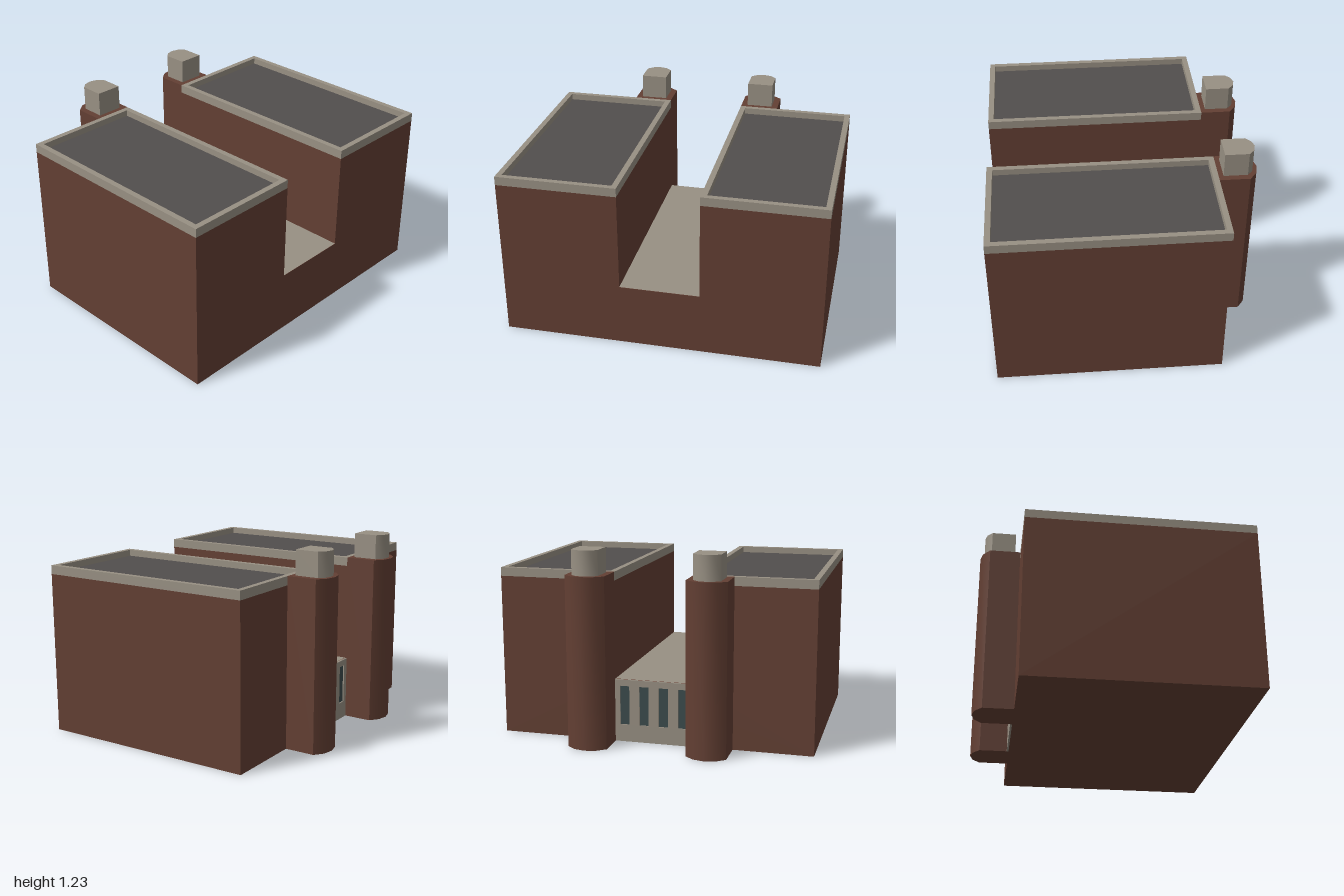
import * as THREE from 'three';
import { toCreasedNormals } from 'three/addons/utils/BufferGeometryUtils.js';

const mat = (color) => new THREE.MeshStandardMaterial({ color });
const brick = mat(0x633f33), stone = mat(0x989083), roofing = mat(0x524e4d), glass = mat(0x3c4b4c);

const BACK = -0.58, FRONT = 0.83, LENGTH = FRONT - BACK, MID_X = (FRONT + BACK) / 2;
const INNER = 0.25, LINK_H = 0.4, WALL_H = 1.02, TOP = 1.075, RIM = 0.035;

function rect(target, x0, y0, x1, y1) {
  target.moveTo(x0, y0).lineTo(x1, y0).lineTo(x1, y1).lineTo(x0, y1).closePath();
  return target;
}

function extrude(shape, depth) {
  return new THREE.ExtrudeGeometry(shape, { depth, bevelEnabled: false });
}

// plan shape raised along y
const raise = (shape, height) => extrude(shape, height).rotateX(-Math.PI / 2);
// elevation shape (z, y) pushed along x
const push = (shape, depth) => extrude(shape, depth).rotateY(Math.PI / 2);

function add(parent, name, geometry, material, x = 0, y = 0, z = 0) {
  const mesh = new THREE.Mesh(geometry, material);
  mesh.name = name;
  mesh.position.set(x, y, z);
  parent.add(mesh);
  return mesh;
}

// Block with a shallow four-sided bow facing -x
function bowed(xFlat, xArc, xTip, half, height) {
  const sag = xArc - xTip;
  const radius = (half * half + sag * sag) / (2 * sag);
  const sweep = Math.asin(half / radius);
  const shape = new THREE.Shape().moveTo(xFlat, -half).lineTo(xFlat, half);
  for (let i = 0; i <= 4; i++) {
    const a = sweep * (1 - i / 2);
    shape.lineTo(xTip + radius * (1 - Math.cos(a)), radius * Math.sin(a));
  }
  shape.closePath();
  return toCreasedNormals(raise(shape, height), 0.6);
}

export function createModel() {
  const model = new THREE.Group();
  model.name = 'building';

  // U-shaped brick walls: two wings and the low link
  const section = new THREE.Shape();
  section.moveTo(-1, 0).lineTo(1, 0).lineTo(1, WALL_H).lineTo(INNER, WALL_H).lineTo(INNER, LINK_H)
    .lineTo(-INNER, LINK_H).lineTo(-INNER, WALL_H).lineTo(-1, WALL_H).closePath();
  add(model, 'walls', push(section, LENGTH), brick, BACK);

  // Link roof
  add(model, 'linkRoof', new THREE.PlaneGeometry(LENGTH, 2 * INNER).rotateX(-Math.PI / 2), stone,
    MID_X, LINK_H + 0.002);

  // Stone entrance face with four tall windows
  const face = rect(new THREE.Shape(), -INNER, 0, INNER, LINK_H);
  const windows = [-0.1875, -0.0625, 0.0625, 0.1875];
  for (const z of windows) face.holes.push(rect(new THREE.Path(), z - 0.03, 0.11, z + 0.03, 0.36));
  add(model, 'linkFace', push(face, 0.012), stone, BACK - 0.012);
  for (const z of windows) {
    add(model, 'window', new THREE.BoxGeometry(0.004, 0.25, 0.06), glass, BACK - 0.002, 0.235, z);
  }

  for (const side of [-1, 1]) {
    const wing = new THREE.Group();
    wing.name = side > 0 ? 'frontWing' : 'backWing';
    model.add(wing);

    // Parapet ring and sunken flat roof
    const midZ = side * (1 + INNER) / 2, hx = LENGTH / 2, hz = (1 - INNER) / 2;
    const ring = rect(new THREE.Shape(), -hx, -hz, hx, hz);
    ring.holes.push(rect(new THREE.Path(), RIM - hx, RIM - hz, hx - RIM, hz - RIM));
    add(wing, 'parapet', raise(ring, TOP - WALL_H), stone, MID_X, WALL_H, midZ);
    add(wing, 'roof', new THREE.BoxGeometry(LENGTH - 2 * RIM, 0.015, 2 * (hz - RIM)), roofing,
      MID_X, WALL_H + 0.0075, midZ);

    // Bow-fronted tower with its cap
    add(wing, 'tower', bowed(BACK, -0.77, -0.83, 0.125, TOP), brick, 0, 0, side * 0.375);
    add(wing, 'towerCap', bowed(-0.61, -0.76, -0.805, 0.084, 0.155), stone, 0, TOP, side * 0.375);
  }
  return model;
}
